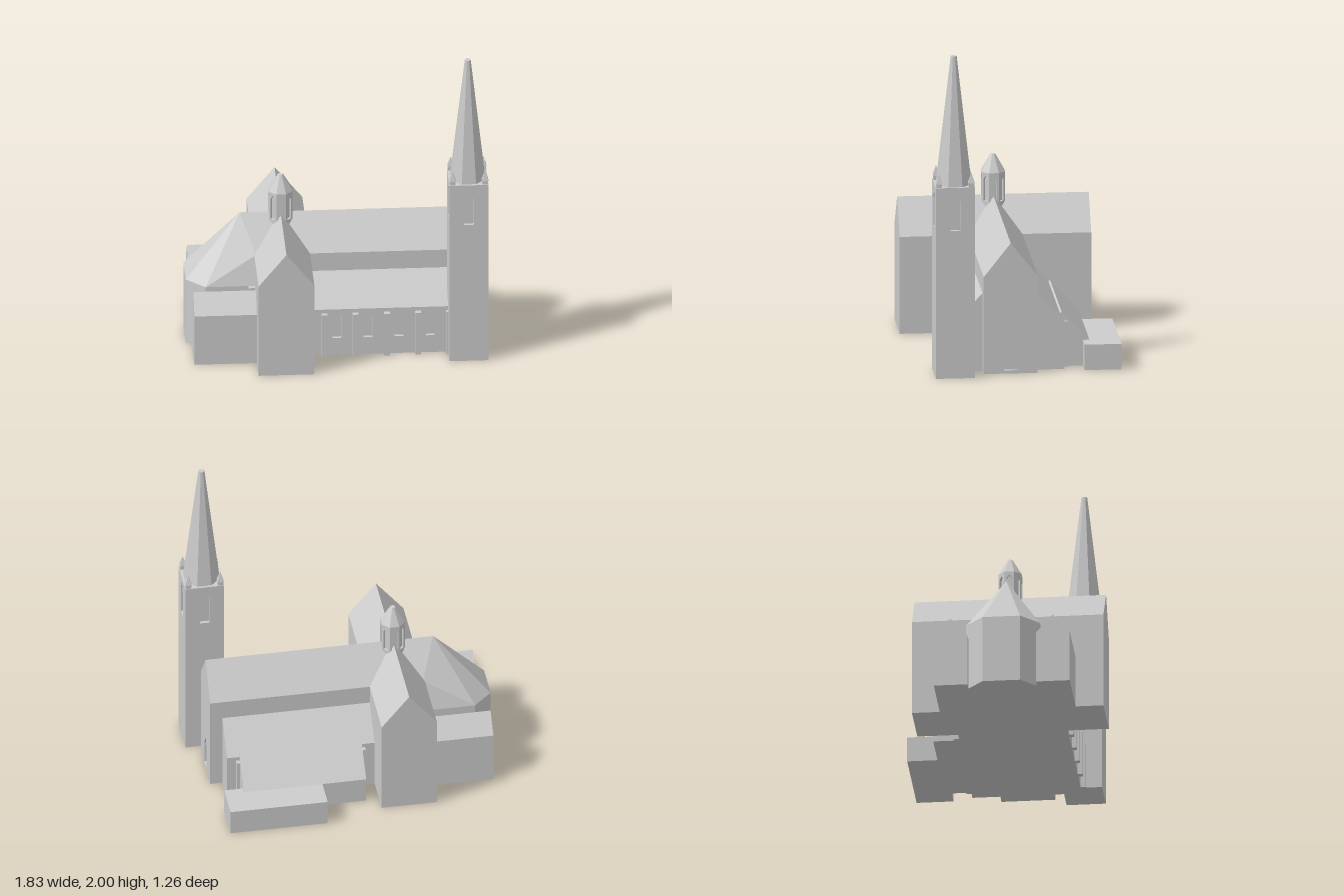
import * as THREE from 'three';
import { ConvexGeometry } from 'three/addons/geometries/ConvexGeometry.js';

export function createModel() {
  const model = new THREE.Group();
  model.name = 'church';
  const stone = new THREE.MeshStandardMaterial({ color: 0xcccccc });
  stone.name = 'stone';
  stone.flatShading = true;

  const add = (name, geometry, parent = model) => {
    const mesh = new THREE.Mesh(geometry, stone);
    mesh.name = name;
    parent.add(mesh);
    return mesh;
  };
  const polygon = (pts) => new THREE.Shape(pts.map(([x, y]) => new THREE.Vector2(x, y)));
  const extrude = (shape, depth) => new THREE.ExtrudeGeometry(shape, { depth, bevelEnabled: false });

  // Box given by its limits
  const block = (name, x0, x1, y0, y1, z0, z1) =>
    add(name, new THREE.BoxGeometry(x1 - x0, y1 - y0, z1 - z0)
      .translate((x0 + x1) / 2, (y0 + y1) / 2, (z0 + z1) / 2));

  // Prism running along x, with its profile given as [z, y]
  const prismX = (name, pts, x0, x1) =>
    add(name, extrude(polygon(pts.map(([z, y]) => [-z, y])), x1 - x0).rotateY(Math.PI / 2).translate(x0, 0, 0));

  // House-shaped profile: walls, eaves and a central ridge
  const gable = (a, b, eave, ridge) => [[a, 0], [b, 0], [b, eave], [(a + b) / 2, ridge], [a, eave]];

  // Pointed opening
  const lancet = (c, w, y0, shoulder, top) => new THREE.Path(
    [[c - w, y0], [c - w, shoulder], [c, top], [c + w, shoulder], [c + w, y0]].map(([x, y]) => new THREE.Vector2(x, y)));

  // Wall slab with openings, its outer face at z = 0
  const wall = (pts, openings, depth) => {
    const shape = polygon(pts);
    shape.holes.push(...openings);
    return extrude(shape, depth).translate(0, 0, -depth);
  };
  const rect = (x0, x1, y0, y1) => [[x0, y0], [x1, y0], [x1, y1], [x0, y1]];

  // Nave with a recessed door in the end gable
  const mid = 0.045;
  prismX('nave', gable(-0.12, 0.21, 0.61, 0.82), -0.5, 0.805);
  const door = lancet(0, 0.042, 0.02, 0.165, 0.235);
  const end = add('naveEndWall', wall(gable(-0.165, 0.165, 0.61, 0.82), [door], 0.02));
  end.rotation.y = Math.PI / 2;
  end.position.set(0.825, 0, mid);

  // Side aisles with sloping roofs
  prismX('aisles', [[-0.27, 0], [0.36, 0], [0.36, 0.31], [0.38, 0.31], [0.21, 0.49],
    [-0.12, 0.49], [-0.29, 0.31], [-0.27, 0.31]], -0.16, 0.75);
  const windows = [-0.007, 0.182, 0.372, 0.562];
  for (const side of [1, -1]) {
    const openings = windows.map((x) => lancet(x * side, 0.027, 0.115, 0.265, 0.304));
    const ends = [-0.16 * side, 0.75 * side].sort((a, b) => a - b);
    const panel = add('aisleWall', wall(rect(ends[0], ends[1], 0, 0.31), openings, 0.02));
    panel.position.z = side > 0 ? 0.38 : -0.29;
    if (side < 0) panel.rotation.y = Math.PI;
    // Buttresses between the windows
    for (let i = 0; i < 5; i++) {
      const x = -0.083 + i * 0.19;
      const z = side > 0 ? 0.375 : -0.32;
      block('buttress', x - 0.018, x + 0.018, 0, 0.285, z, z + 0.035);
    }
  }

  // Transept
  add('transept', extrude(polygon(gable(-0.5, -0.16, 0.61, 0.82)), 1.17).translate(0, 0, -0.54));

  // Polygonal apse with a hipped roof
  const plan = [[-0.49, 0.27], [-0.8, 0.27], [-0.915, 0.16], [-0.915, -0.07], [-0.8, -0.18], [-0.49, -0.18]];
  const points = [[-0.58, 0.82, mid], [-0.49, 0.82, mid], [-0.49, 0.61, 0.21], [-0.49, 0.61, -0.12]];
  for (const [x, z] of plan) points.push([x, 0, z], [x, 0.43, z]);
  add('apse', new ConvexGeometry(points.map((p) => new THREE.Vector3(...p))));

  // Chapels on both sides of the apse, with small link walls
  for (const [z0, z1] of [[0.255, 0.46], [-0.37, -0.165]])
    prismX('chapel', gable(z0, z1, 0.33, 0.445), -0.88, -0.49);
  block('linkWall', -0.54, -0.49, 0, 0.43, 0.26, 0.3);
  block('linkWall', -0.54, -0.49, 0, 0.43, -0.21, -0.17);

  // Lean-to and low annexe at the back
  prismX('leanTo', [[-0.45, 0], [-0.27, 0], [-0.27, 0.33], [-0.28, 0.34], [-0.45, 0.16]], -0.08, 0.675);
  block('annexe', 0.19, 0.79, 0, 0.16, -0.635, -0.41);

  // Bell tower
  const tower = new THREE.Group();
  tower.name = 'tower';
  tower.position.set(0.79, 0, 0.39);
  model.add(tower);
  add('towerCore', new THREE.BoxGeometry(0.2, 1.2, 0.2).translate(0, 0.6, 0), tower);
  for (let i = 0; i < 4; i++) {
    const half = i % 2 ? 0.1 : 0.12;
    const opening = lancet(0, 0.03, 0.93, 1.11, 1.17);
    const side = add('towerWall', wall(rect(-half, half, 0, 1.2), [opening], 0.02).translate(0, 0, 0.12), tower);
    side.rotation.y = i * Math.PI / 2;
  }

  // Spire and corner pinnacles
  const octagon = (r1, r0, h) => new THREE.CylinderGeometry(r1, r0, h, 8).rotateY(Math.PI / 8);
  add('spire', octagon(0.019, 0.114, 0.8).translate(0, 1.6, 0), tower);
  for (const sx of [-1, 1]) for (const sz of [-1, 1]) {
    add('pinnacleBase', new THREE.BoxGeometry(0.034, 0.03, 0.034).translate(sx * 0.099, 1.215, sz * 0.099), tower);
    add('pinnacle', new THREE.CylinderGeometry(0, 0.028, 0.065, 4).rotateY(Math.PI / 4)
      .translate(sx * 0.099, 1.2575, sz * 0.099), tower);
  }

  // Lantern over the crossing
  const lantern = new THREE.Group();
  lantern.name = 'lantern';
  lantern.position.set(-0.33, 0, mid);
  model.add(lantern);
  add('lanternCore', octagon(0.061, 0.061, 0.27).translate(0, 0.835, 0), lantern);
  for (let i = 0; i < 8; i++) {
    const opening = lancet(0, 0.017, 0.79, 0.925, 0.95);
    const side = add('lanternWall', wall(rect(-0.0295, 0.0295, 0.7, 0.97), [opening], 0.014).translate(0, 0, 0.071), lantern);
    side.rotation.y = i * Math.PI / 4;
  }
  add('lanternRoof', octagon(0.016, 0.077, 0.105).translate(0, 1.0225, 0), lantern);

  return model;
}
